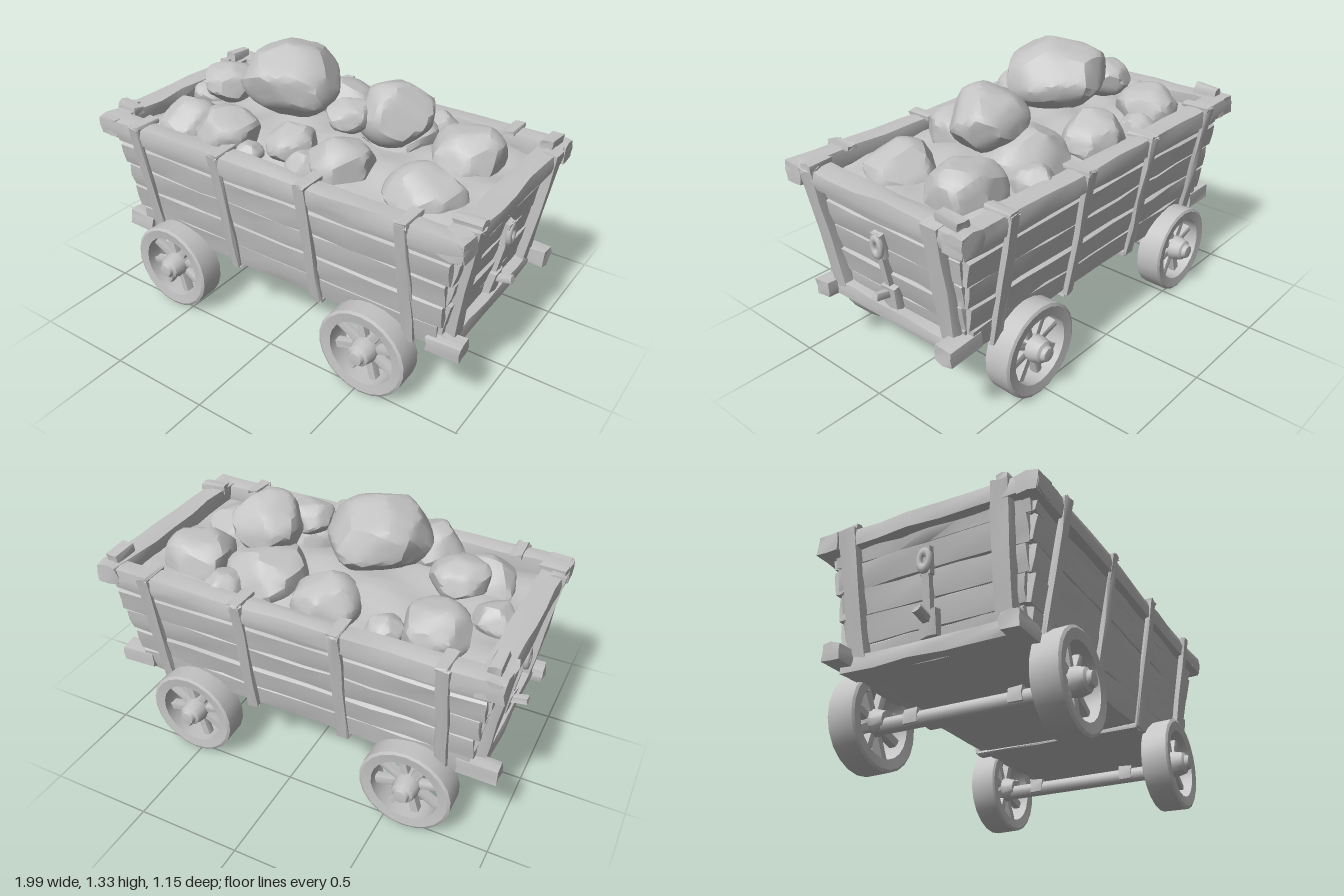
import * as THREE from 'three';
import { toCreasedNormals } from 'three/addons/utils/BufferGeometryUtils.js';

const V = (x, y, z) => new THREE.Vector3(x, y, z);

// Seeded random numbers, and a repeatable noise per position so shared corners move together
let seed = 7;
const rnd = () => {
  seed = (seed * 16807) % 2147483647;
  return seed / 2147483647;
};
const hash = (x, y, z, k) => {
  const s = Math.sin(Math.round(x * 999) * 12.99 + Math.round(y * 999) * 78.23 + Math.round(z * 999) * 37.72 + k * 4.13) * 43758.5453;
  return (s - Math.floor(s)) * 2 - 1;
};

export function createModel() {
  seed = 7;
  const model = new THREE.Group();
  const gray = new THREE.MeshStandardMaterial({ color: 0xc4c4c4 });
  gray.name = 'plain gray';

  function add(name, geo, parent = model) {
    const m = new THREE.Mesh(geo, gray);
    m.name = name;
    parent.add(m);
  }

  // Roughly hewn timber from a to b: w is its thickness, h its size along "up"
  function beam(name, a, b, w, h, up = V(0, 1, 0), rough = 0.006, parent = model) {
    const dir = b.clone().sub(a);
    const len = dir.length();
    const n = Math.max(1, Math.round(len / 0.16));
    const geo = new THREE.BoxGeometry(w, h, len, 2, 2, n);
    const p = geo.attributes.position;
    const k = rnd() * 100;
    for (let i = 0; i < p.count; i++) {
      const x = p.getX(i), y = p.getY(i), z = p.getZ(i);
      const corner = Math.abs(x) > w * 0.49 && Math.abs(y) > h * 0.49;
      const s = corner ? 0.9 : 1;
      p.setXYZ(i, x * s + hash(x, y, z, k) * rough, y * s + hash(x, y, z, k + 9) * rough, z + hash(x, y, z, k + 5) * rough);
    }
    dir.normalize();
    const right = up.clone().cross(dir).normalize();
    const basis = new THREE.Matrix4().makeBasis(right, dir.clone().cross(right), dir);
    geo.applyMatrix4(basis.setPosition(a.clone().add(b).multiplyScalar(0.5)));
    add(name, toCreasedNormals(geo, 0.7), parent);
  }

  // The walls lean outward: half width and half length of the box at height y
  const wallZ = (y) => 0.4 + (y - 0.33) * 0.13;
  const wallX = (y) => 0.82 + (y - 0.33) * 0.17;

  // Box floor and planked walls
  beam('floor', V(-0.84, 0.355, 0), V(0.84, 0.355, 0), 0.82, 0.05);
  for (const s of [-1, 1]) {
    for (let i = 0; i < 5; i++) {
      const y = 0.4 + i * 0.12;
      const x = wallX(y), z = wallZ(y);
      const e = 0.02 * rnd();
      const thick = 0.047 + 0.01 * (i % 2);
      beam('sidePlank', V(-x - e, y, s * z), V(x + e, y, s * z), thick, 0.128, V(0, 1, s * 0.18), 0.005);
      beam('endPlank', V(s * x, y, -z), V(s * x, y, z), thick, 0.128, V(s * 0.22, 1, 0), 0.005);
    }
    // Rim, sill and corner timbers
    beam('sideRim', V(-0.985, 0.915, s * 0.48), V(0.98, 0.915, s * 0.48), 0.105, 0.095);
    beam('endRim', V(s * 0.92, 0.918, -0.53), V(s * 0.92, 0.918, 0.53), 0.115, 0.09);
    beam('endSill', V(s * 0.86, 0.36, -0.41), V(s * 0.86, 0.36, 0.41), 0.09, 0.075);
    for (const t of [-1, 1]) {
      // Seen from either end, the left post splays inward at its foot and the right post is upright
      const left = s * t > 0;
      beam('cornerPost', V(s * 0.86, 0.36, t * (left ? 0.338 : 0.348)), V(s * 0.955, 0.965, t * (left ? 0.385 : 0.362)), 0.085, 0.075, V(1, 0, 0));
      if (t < 0) beam('postPeg', V(s * 0.92, 0.975, -0.48), V(s * 0.92, 0.985, -0.36), 0.06, 0.045, V(0, 1, 0), 0.006);
      else beam('postPeg', V(s * 0.86, 0.96, 0.39), V(s * 0.985, 0.965, 0.375), 0.06, 0.045, V(0, 1, 0), 0.006);
      const y = t > 0 ? 0.355 : 0.39;
      beam('sillStub', V(s * 0.8, y, t * 0.4), V(s * (t > 0 ? 0.955 : 0.98), y, t * 0.4), 0.09, 0.082);
    }
    // Straps bent over the rim and down the sides
    for (const x of [-0.73, -0.25, 0.225, 0.71]) {
      beam('sideStrap', V(x, 0.325, s * 0.43), V(x - 0.005, 0.965, s * 0.54), 0.058, 0.026, V(0, 0, 1), 0.005);
      beam('strapTop', V(x, 0.962, s * 0.41), V(x, 0.962, s * 0.548), 0.058, 0.022, V(0, 1, 0), 0.004);
    }
    // Latch on each end: rounded eye plate, bar, foot block and peg
    const eye = new THREE.TorusGeometry(0.026, 0.015, 8, 14);
    eye.scale(0.9, 1.5, 1).rotateY(Math.PI / 2).translate(s * 0.942, 0.72, 0);
    add('latchEye', eye);
    beam('latchPlate', V(s * 0.915, 0.665, 0), V(s * 0.935, 0.78, 0), 0.06, 0.035, V(1, 0, 0), 0.004);
    beam('latchBar', V(s * 0.875, 0.47, 0), V(s * 0.918, 0.7, 0), 0.038, 0.045, V(1, 0, 0), 0.004);
    beam('latchFoot', V(s * 0.865, 0.405, 0), V(s * 0.885, 0.515, 0), 0.09, 0.06, V(1, 0, 0), 0.006);
    beam('latchPeg', V(s * 0.87, 0.47, 0), V(s * 0.975, 0.492, 0), 0.035, 0.035, V(0, 1, 0), 0.004);
  }
  for (const x of [-0.25, 0.225]) beam('bottomStrap', V(x, 0.325, -0.43), V(x, 0.325, 0.43), 0.058, 0.022, V(0, 1, 0), 0.004);

  // Turned part whose profile is [radius, z], spun about the z axis
  const turned = (profile, sides) =>
    toCreasedNormals(new THREE.LatheGeometry(profile.map(([r, z]) => new THREE.Vector2(r, z)), sides).rotateX(Math.PI / 2), 0.6);

  // Wheels: worn rim, eight spokes and a stepped hub
  function wheel() {
    const g = new THREE.Group();
    g.name = 'wheel';
    add('wheelRim', turned([[0.162, -0.061], [0.207, -0.067], [0.218, -0.06], [0.22, 0.06], [0.207, 0.067], [0.162, 0.061], [0.162, -0.061]], 22), g);
    for (let i = 0; i < 8; i++) {
      const a = (i + 0.35) * Math.PI / 4;
      const c = Math.cos(a), s = Math.sin(a);
      beam('spoke', V(c * 0.03, s * 0.03, 0), V(c * 0.175, s * 0.175, 0), 0.038, 0.042, V(0, 0, 1), 0.003, g);
    }
    add('hub', turned([[0, -0.08], [0.045, -0.08], [0.062, -0.03], [0.062, 0.04], [0.052, 0.08], [0.038, 0.088], [0.032, 0.106], [0, 0.11]], 12), g);
    return g;
  }
  for (const x of [-0.6, 0.53]) {
    for (const s of [-1, 1]) {
      const w = wheel();
      w.position.set(x, 0.222, s * 0.467);
      if (s < 0) w.rotation.y = Math.PI;
      model.add(w);
      beam('axleBlock', V(x, 0.21, s * 0.215), V(x, 0.21, s * 0.28), 0.08, 0.07, V(0, 1, 0), 0.003);
    }
    const axle = new THREE.CylinderGeometry(0.036, 0.036, 0.86, 10).rotateX(Math.PI / 2).translate(x, 0.2, 0);
    add('axle', toCreasedNormals(axle, 0.7));
  }

  // Rubble bed filling the box
  const bed = new THREE.PlaneGeometry(1.78, 0.9, 26, 14).rotateX(-Math.PI / 2);
  const bp = bed.attributes.position;
  for (let i = 0; i < bp.count; i++) {
    const x = bp.getX(i), z = bp.getZ(i);
    const mound = 0.06 * (1 - (x / 0.9) ** 2) * (1 - (z / 0.46) ** 2);
    bp.setY(i, 0.88 + mound + 0.012 * Math.sin(x * 17 + z * 9) + 0.01 * Math.cos(z * 21 - x * 7));
  }
  bed.computeVertexNormals();
  add('rubbleBed', bed);

  // Boulder: a sphere chipped flat by random planes; r across, ry half height, lean tips its top along x
  function boulder(x, z, r, top, ry = r * 0.85, lean = 0) {
    const geo = new THREE.IcosahedronGeometry(1, 5);
    const planes = [];
    for (let i = 0; i < 26; i++) {
      const u = rnd() * 2 - 1, a = rnd() * Math.PI * 2, q = Math.sqrt(1 - u * u);
      planes.push([V(q * Math.cos(a), u, q * Math.sin(a)), 0.84 + rnd() * 0.12]);
    }
    const p = geo.attributes.position;
    const d = V(0, 0, 0);
    for (let i = 0; i < p.count; i++) {
      d.fromBufferAttribute(p, i).normalize();
      let len = 1.05;
      for (const [n, dist] of planes) {
        const f = n.dot(d);
        if (f > 0.1) len = Math.min(len, dist / f);
      }
      p.setXYZ(i, (d.x * r + d.y * lean) * len, d.y * len * ry, d.z * len * r);
    }
    geo.computeBoundingBox();
    geo.translate(x, top - geo.boundingBox.max.y, z);
    add('boulder', toCreasedNormals(geo, 0.45));
  }
  const boulders = [
    [-0.21, -0.01, 0.245, 1.335, 0.165, -0.04], [-0.6, -0.27, 0.155, 1.06], [-0.6, 0, 0.135, 1.14, 0.1],
    [-0.1, -0.3, 0.155, 1.08], [0.32, -0.05, 0.175, 1.26, 0.155], [0.18, 0.1, 0.11, 1.18, 0.08],
    [0.25, -0.2, 0.2, 1.08], [0.62, -0.19, 0.18, 1.05], [0.62, 0.19, 0.18, 1.03],
    [0.22, 0.23, 0.16, 1.07], [-0.03, 0.25, 0.12, 1.06], [-0.35, 0.31, 0.15, 1.09],
    [-0.65, 0.23, 0.165, 1.03], [0.38, -0.36, 0.1, 1.0], [-0.4, -0.35, 0.09, 0.99],
    [-0.79, -0.05, 0.1, 0.99], [-0.19, 0.37, 0.07, 0.98], [-0.48, 0.27, 0.09, 0.99], [0.08, 0.3, 0.09, 0.99],
  ];
  for (const b of boulders) boulder(...b);

  return model;
}
